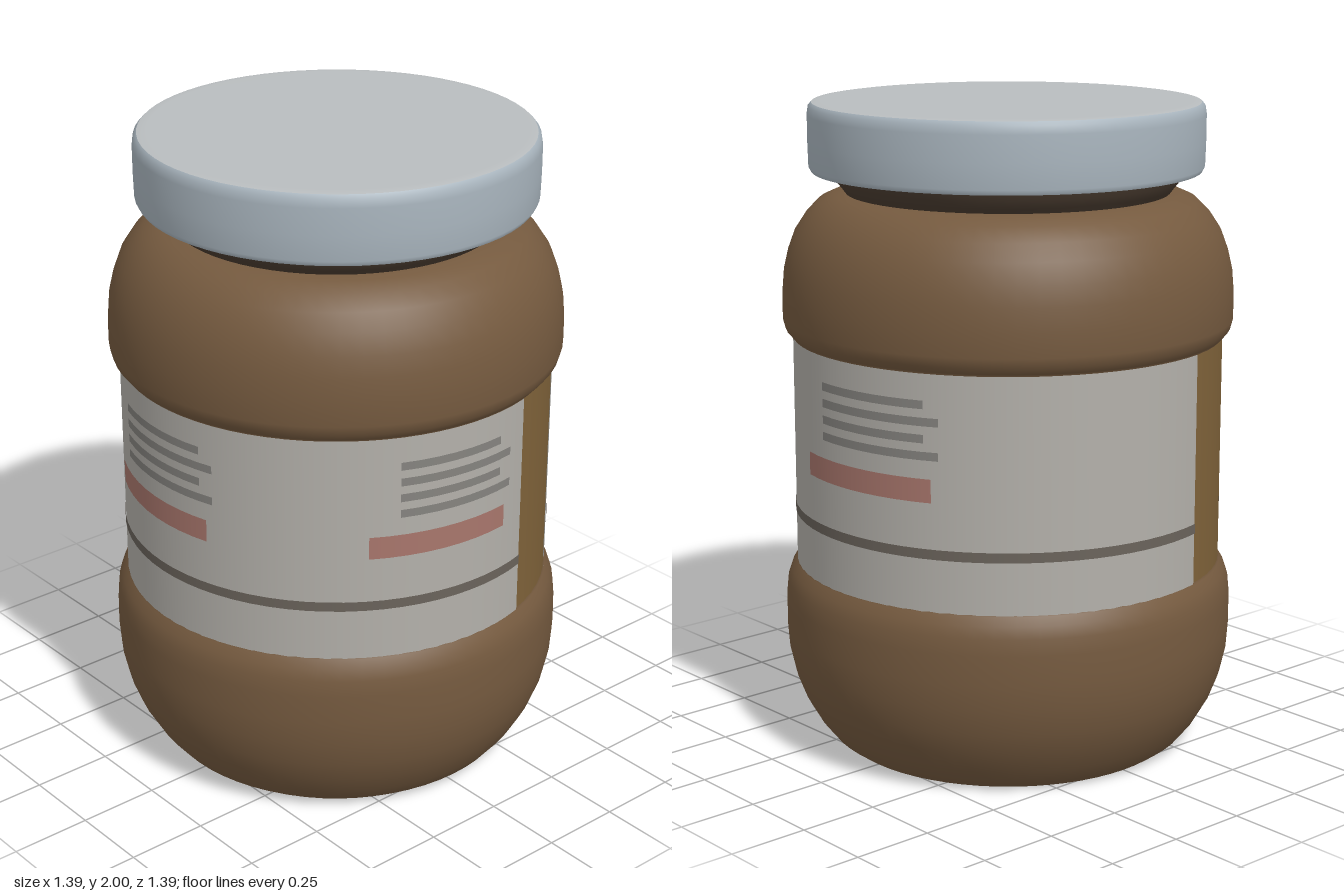
import * as THREE from 'three';

const COLORS = {
  filling: 0x755a3f, neck: 0x4a3c30, lidSide: 0xa9b5be, lidTop: 0xb9bdbf,
  paper: 0xb3b0aa, stripe: 0x6a635b, strip: 0x80633a, red: 0xa8766c, grey: 0x85837f,
};

function material(color, side = THREE.FrontSide) {
  return new THREE.MeshStandardMaterial({ color, side, roughness: 0.8 });
}

export function createModel() {
  const jar = new THREE.Group();
  jar.name = 'jar';

  // Full turn of a [radius, y] profile, listed from bottom to top
  function turned(name, profile, color, parent = jar) {
    const points = profile.map(([r, y]) => new THREE.Vector2(r, y));
    const mesh = new THREE.Mesh(new THREE.LatheGeometry(points, 64), material(color));
    mesh.name = name;
    parent.add(mesh);
    return mesh;
  }

  // Curved patch hugging the waist, angles in degrees from +z towards +x
  function patch(name, from, to, y0, y1, radius, color, parent) {
    const segments = Math.max(4, Math.ceil((to - from) / 5));
    const geometry = new THREE.CylinderGeometry(radius, radius, y1 - y0, segments, 1, true,
      THREE.MathUtils.degToRad(from), THREE.MathUtils.degToRad(to - from));
    geometry.translate(0, (y0 + y1) / 2, 0);
    const mesh = new THREE.Mesh(geometry, material(color, THREE.DoubleSide));
    mesh.name = name;
    parent.add(mesh);
  }

  // Body: rounded lower bulge, recessed waist and rounded shoulder
  turned('base', [[0, 0.005], [0.53, 0.005]], COLORS.filling);
  turned('body', [
    [0.53, 0.005], [0.565, 0.03], [0.605, 0.08], [0.645, 0.15], [0.672, 0.22], [0.69, 0.3],
    [0.696, 0.38], [0.695, 0.47], [0.69, 0.52], [0.678, 0.555], [0.662, 0.58], [0.652, 0.595],
    [0.652, 1.28], [0.665, 1.295], [0.682, 1.315], [0.69, 1.345], [0.69, 1.42], [0.684, 1.49],
    [0.67, 1.55], [0.648, 1.61], [0.615, 1.66], [0.575, 1.7], [0.53, 1.72], [0.49, 1.725],
  ], COLORS.filling);
  turned('neck', [[0.49, 1.72], [0.505, 1.74], [0.525, 1.765], [0.535, 1.8]], COLORS.neck);

  // Lid: hollow-looking underside, upright rim, softened edge and flat top
  const lid = new THREE.Group();
  lid.name = 'lid';
  lid.position.x = 0.006;
  jar.add(lid);
  turned('lidUnderside', [[0.48, 1.8], [0.592, 1.79]], COLORS.neck, lid);
  turned('lidRim', [
    [0.592, 1.79], [0.6, 1.805], [0.602, 1.88], [0.602, 1.96], [0.598, 1.985], [0.588, 1.996],
  ], COLORS.lidSide, lid);
  turned('lidTop', [[0.588, 1.996], [0.56, 2], [0, 2]], COLORS.lidTop, lid);

  // Two label sheets separated by bare strips, each with a thin stripe
  const label = new THREE.Group();
  label.name = 'label';
  jar.add(label);
  for (const [from, to] of [[-41.6, 106], [131, 286]]) {
    patch('labelSheet', from, to, 0.582, 1.288, 0.66, COLORS.paper, label);
    patch('labelStripe', from, to, 0.742, 0.772, 0.662, COLORS.stripe, label);
  }
  for (const [from, to] of [[-74, -41.6], [106, 131]]) {
    patch('bareStrip', from, to, 0.582, 1.288, 0.658, COLORS.strip, label);
  }

  // Plain print blocks: one faded red band below four faded grey bars
  for (const [from, to] of [[-28, 17], [58, 100], [165, 211]]) {
    patch('redBand', from, to - 2, 0.91, 0.98, 0.662, COLORS.red, label);
    for (let i = 0; i < 4; i++) {
      patch('greyBar', from + 8, to - (i % 2) * 4, 1.035 + i * 0.05, 1.06 + i * 0.05,
        0.662, COLORS.grey, label);
    }
  }
  return jar;
}
